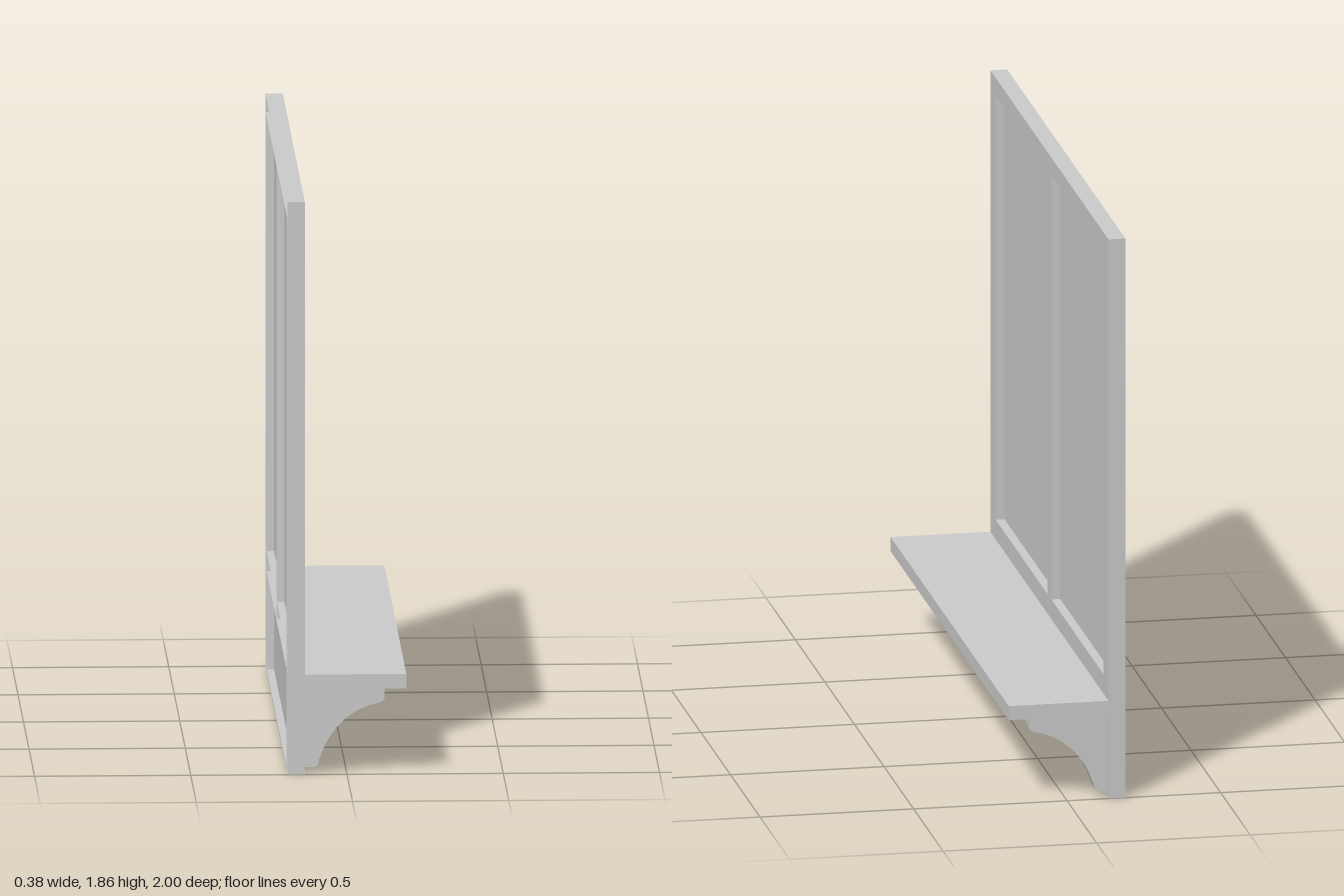
import * as THREE from 'three';

const material = new THREE.MeshStandardMaterial({ color: 0xcccccc, side: THREE.DoubleSide });
const BACK = -0.19, FACE = -0.135, PANEL = -0.165;

export function createModel() {
  const group = new THREE.Group();

  const add = (name, geometry, x, y, z) => {
    const mesh = new THREE.Mesh(geometry, material);
    mesh.name = name;
    mesh.position.set(x, y, z);
    group.add(mesh);
  };

  // Solid box given by its limits
  const box = (name, x0, x1, y0, y1, z0, z1) =>
    add(name, new THREE.BoxGeometry(x1 - x0, y1 - y0, z1 - z0), (x0 + x1) / 2, (y0 + y1) / 2, (z0 + z1) / 2);

  // Frame board with an open back: a box without its -x face
  const board = (name, y0, y1, z0, z1) => {
    const geometry = new THREE.BoxGeometry(FACE - BACK, y1 - y0, z1 - z0);
    const index = Array.from(geometry.index.array);
    index.splice(6, 6);
    geometry.setIndex(index);
    geometry.clearGroups();
    add(name, geometry, (FACE + BACK) / 2, (y0 + y1) / 2, (z0 + z1) / 2);
  };

  // Thin panel running behind all the boards
  box('backPanel', PANEL - 0.001, PANEL + 0.001, 0.002, 1.858, -0.999, 0.999);

  // Frame
  board('topRail', 1.8, 1.86, -1, 1);
  board('lowerRail', 0.325, 0.39, -1, 1);
  board('mullion', 0.335, 1.8, -0.032, 0.032);
  board('leftStile', 0, 1.8, 0.912, 1);
  board('rightStile', 0, 1.8, -1, -0.912);
  box('bottomEdge', BACK, FACE, 0, 0.005, -0.912, 0.912);

  // Shelf
  box('shelf', FACE - 0.03, 0.19, 0.278, 0.325, -1, 1);

  // Curved brackets under the shelf
  const profile = new THREE.Shape();
  profile.moveTo(FACE, 0.278);
  profile.lineTo(FACE, 0.022);
  profile.lineTo(-0.105, 0.022);
  profile.quadraticCurveTo(-0.095, 0.024, -0.092, 0.035);
  profile.bezierCurveTo(-0.065, 0.135, 0.005, 0.212, 0.105, 0.23);
  profile.quadraticCurveTo(0.12, 0.234, 0.12, 0.245);
  profile.lineTo(0.12, 0.278);
  const bracket = new THREE.ExtrudeGeometry(profile, { depth: 0.06, bevelEnabled: false, curveSegments: 16 });
  add('leftBracket', bracket, 0, 0, 0.925);
  add('rightBracket', bracket, 0, 0, -0.985);

  return group;
}
